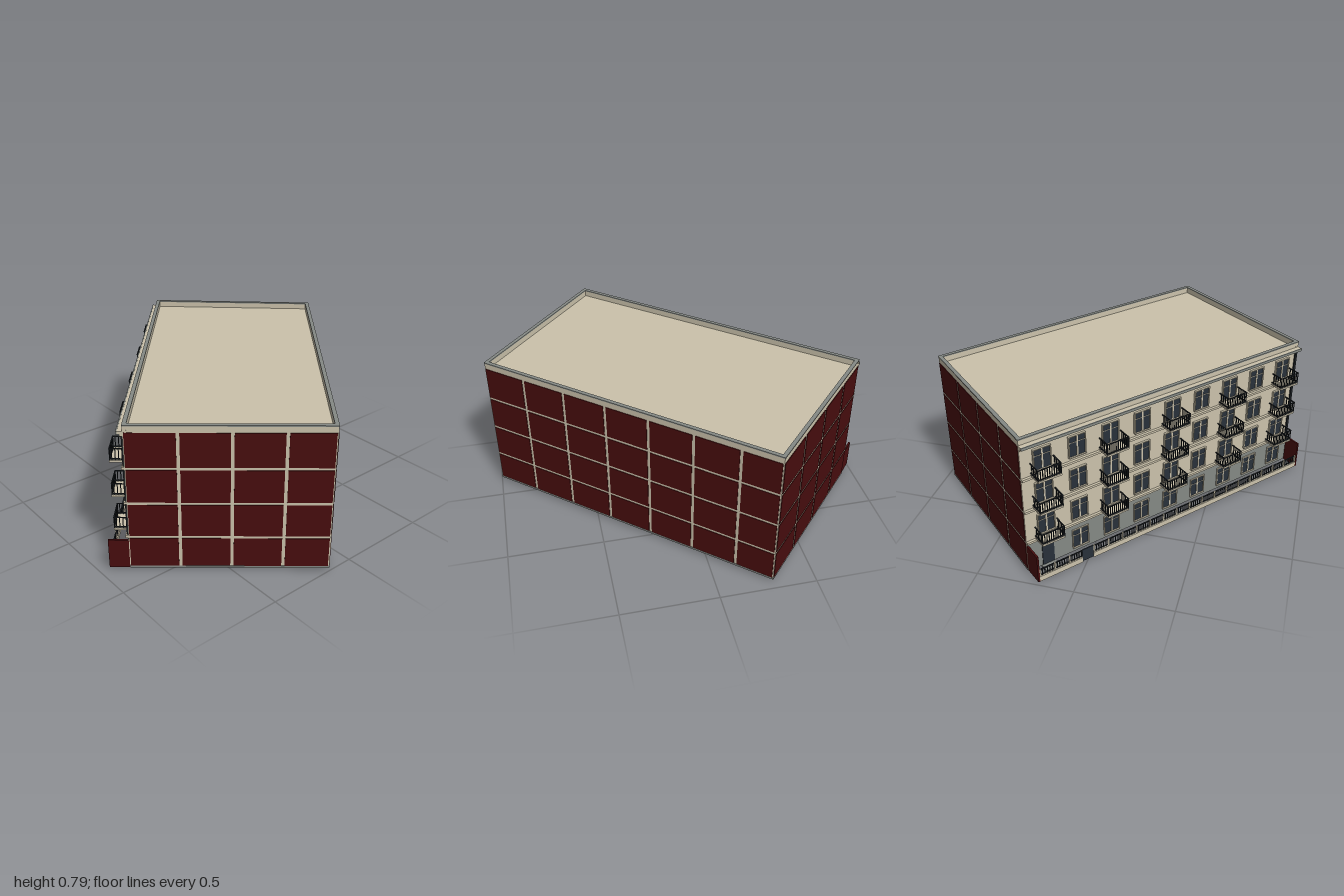
import * as THREE from 'three';

const mat = (name, color) => {
  const m = new THREE.MeshStandardMaterial({ color });
  m.name = name;
  return m;
};

export function createModel() {
  const cream = mat('cream plaster', 0xcbc2ab);
  const red = mat('dark red cladding', 0x480d0e);
  const grey = mat('grey stone', 0x858985);
  const glass = mat('window glass', 0x28313a);
  const metal = mat('railing metal', 0x1d2226);

  const model = new THREE.Group();
  model.name = 'apartmentBuilding';

  // Footprint corners (x, z), walked so that each wall faces outward
  const corners = [[-0.93, -0.255], [0.377, 0.877], [0.995, 0.14], [-0.283, -0.955]];
  const base = 0.015, top = 0.79, roofY = 0.755, thick = 0.018;
  const floors = [0.193, 0.38, 0.567];

  // Box given by its limits in the frame of a wall
  const box = (parent, name, material, x0, x1, y0, y1, z0, z1) => {
    const mesh = new THREE.Mesh(new THREE.BoxGeometry(x1 - x0, y1 - y0, z1 - z0), material);
    mesh.position.set((x0 + x1) / 2, (y0 + y1) / 2, (z0 + z1) / 2);
    mesh.name = name;
    parent.add(mesh);
    return mesh;
  };

  // Wall frame: x runs along the wall, z points outward
  const wallFrame = (i, name) => {
    const [ax, az] = corners[i], [bx, bz] = corners[(i + 1) % 4];
    const g = new THREE.Group();
    g.name = name;
    g.position.set(ax, 0, az);
    g.rotation.y = Math.atan2(az - bz, bx - ax);
    model.add(g);
    return [g, Math.hypot(bx - ax, bz - az)];
  };

  // Clad walls: plaster grid with red panels set on it
  ['sideWall', 'backWall', 'otherSideWall'].forEach((name, k) => {
    const [wall, len] = wallFrame(k + 1, name);
    box(wall, 'plasterGrid', cream, 0, len, base, top - 0.006, -thick, 0);
    box(wall, 'parapetCap', grey, 0, len, top - 0.006, top, -thick, 0.002);
    box(wall, 'baseStrip', grey, 0, len, base, 0.026, 0, 0.003);
    const pitch = 0.246, half = 0.008;
    const xs = [0];
    for (let x = pitch; x < len - 0.1; x += pitch) xs.push(x);
    xs.push(len);
    const ys = [0.02, ...floors, roofY + 0.004];
    for (let c = 0; c < xs.length - 1; c++) {
      for (let r = 0; r < ys.length - 1; r++) {
        const x0 = xs[c] + (c ? half : 0.005);
        const x1 = xs[c + 1] - (c < xs.length - 2 ? half : 0.006);
        box(wall, 'redPanel', red, x0, x1, ys[r] + 0.007, ys[r + 1] - 0.007, 0, 0.003);
      }
    }
  });

  // Flat roof inside the parapet
  const shape = new THREE.Shape(corners.map(([x, z]) => new THREE.Vector2(x * 0.99 + 0.0004, -z * 0.99)));
  const roofGeo = new THREE.ExtrudeGeometry(shape, { depth: 0.01, bevelEnabled: false });
  roofGeo.rotateX(-Math.PI / 2);
  const roof = new THREE.Mesh(roofGeo, cream);
  roof.position.y = roofY - 0.01;
  roof.name = 'roof';
  model.add(roof);

  // Main facade
  const [front, len] = wallFrame(0, 'frontFacade');
  box(front, 'facadeWall', cream, 0, len, base, top - 0.006, -thick, 0);
  box(front, 'parapetCap', grey, 0, len, top - 0.006, top, -thick, 0.002);
  box(front, 'groundFloorFacing', grey, 0.005, len - 0.005, base, 0.188, 0, 0.004);
  floors.forEach(y => {
    box(front, 'stringCourse', cream, 0, len, y - 0.006, y + 0.006, 0, 0.014);
  });
  box(front, 'corniceLower', cream, 0, len, 0.733, 0.744, 0, 0.014);
  box(front, 'corniceUpper', cream, 0, len, 0.744, 0.758, 0, 0.024);
  box(front, 'corniceLip', grey, 0, len, 0.744, 0.759, 0.024, 0.03);
  box(front, 'cornerDownpipe', metal, len - 0.022, len - 0.008, 0.2, 0.733, 0, 0.008);

  // Window: pane through the wall, outer frame, mullion and transom
  const addWindow = (cx, y0, y1, w) => {
    const g = new THREE.Group();
    g.name = 'window';
    front.add(g);
    const h = w / 2, f = 0.005;
    box(g, 'pane', glass, cx - h, cx + h, y0, y1, -thick - 0.002, 0.006);
    box(g, 'frameLeft', cream, cx - h - f, cx - h, y0, y1, 0, 0.011);
    box(g, 'frameRight', cream, cx + h, cx + h + f, y0, y1, 0, 0.011);
    box(g, 'lintel', cream, cx - h - f, cx + h + f, y1, y1 + f, 0, 0.011);
    box(g, 'sill', cream, cx - h - f, cx + h + f, y0 - f, y0, 0, 0.014);
    box(g, 'mullion', cream, cx - 0.004, cx + 0.004, y0, y1, 0.005, 0.009);
    box(g, 'transom', cream, cx - h, cx + h, y1 - 0.035, y1 - 0.032, 0.005, 0.008);
  };

  // Balcony: slab, rails and bars on three sides
  const addBalcony = (cx, y) => {
    const g = new THREE.Group();
    g.name = 'balcony';
    front.add(g);
    const h = 0.063, z1 = 0.075, r = 0.0025, yTop = y + 0.07;
    box(g, 'slab', cream, cx - h, cx + h, y, y + 0.01, 0, z1);
    for (const ry of [y + 0.017, yTop]) {
      box(g, 'frontRail', metal, cx - h, cx + h, ry - r, ry + r, z1 - 2 * r, z1);
      for (const s of [-1, 1]) {
        const x = cx + s * (h - r);
        box(g, 'sideRail', metal, x - r, x + r, ry - r, ry + r, 0, z1);
      }
    }
    for (let i = 0; i <= 10; i++) {
      const x = cx - h + r + i * (2 * h - 2 * r) / 10;
      box(g, 'bar', metal, x - 0.002, x + 0.002, y + 0.01, yTop, z1 - 0.0045, z1 - 0.0005);
    }
    for (const s of [-1, 1]) {
      for (let i = 0; i < 4; i++) {
        const x = cx + s * (h - r), z = 0.014 + i * 0.016;
        box(g, 'sideBar', metal, x - 0.002, x + 0.002, y + 0.01, yTop, z - 0.002, z + 0.002);
      }
    }
  };

  for (let col = 0; col < 9; col++) {
    const cx = len / 2 + (col - 4) * 0.188;
    if (col > 0) addWindow(cx, 0.043, 0.15, 0.086);
    floors.forEach(y => {
      addWindow(cx, y + 0.03, y + 0.141, 0.086);
      if (col % 2 === 0) addBalcony(cx, y + 0.004);
    });
  }

  // Entrance door and its step
  const doorX = len / 2 - 4 * 0.188;
  box(front, 'door', glass, doorX - 0.033, doorX + 0.033, 0.018, 0.152, -thick - 0.002, 0.008);
  box(front, 'doorLintel', cream, doorX - 0.04, doorX + 0.04, 0.152, 0.158, 0, 0.012);
  box(front, 'doorStep', grey, doorX - 0.04, doorX + 0.04, 0, base, 0, 0.05);

  // Terrace: end walls, low wall, railing and gate
  const out = 0.1;
  box(front, 'terraceEndWall', red, 0, 0.01, base, 0.172, 0, out);
  box(front, 'terraceEndWall', red, len - 0.01, len, base, 0.172, 0, out);
  const gate = [0.255, 0.32];
  for (const [x0, x1] of [[0.01, gate[0]], [gate[1], len - 0.01]]) {
    box(front, 'terraceWall', cream, x0, x1, base, 0.045, out - 0.014, out);
    box(front, 'terraceTopRail', metal, x0, x1, 0.082, 0.087, out - 0.01, out - 0.004);
    box(front, 'terraceLowRail', metal, x0, x1, 0.049, 0.053, out - 0.009, out - 0.005);
    const bars = Math.round((x1 - x0) / 0.0145);
    for (let i = 0; i <= bars; i++) {
      const x = x0 + 0.004 + i * (x1 - x0 - 0.008) / bars;
      const post = i % 6 === 0;
      const w = post ? 0.004 : 0.002;
      box(front, post ? 'terracePost' : 'terraceBar', post ? cream : metal,
        x - w, x + w, 0.045, post ? 0.089 : 0.083, out - 0.007 - w, out - 0.007 + w);
    }
  }
  box(front, 'gate', glass, gate[0], gate[1], base + 0.003, 0.09, out - 0.01, out - 0.004);

  return model;
}
